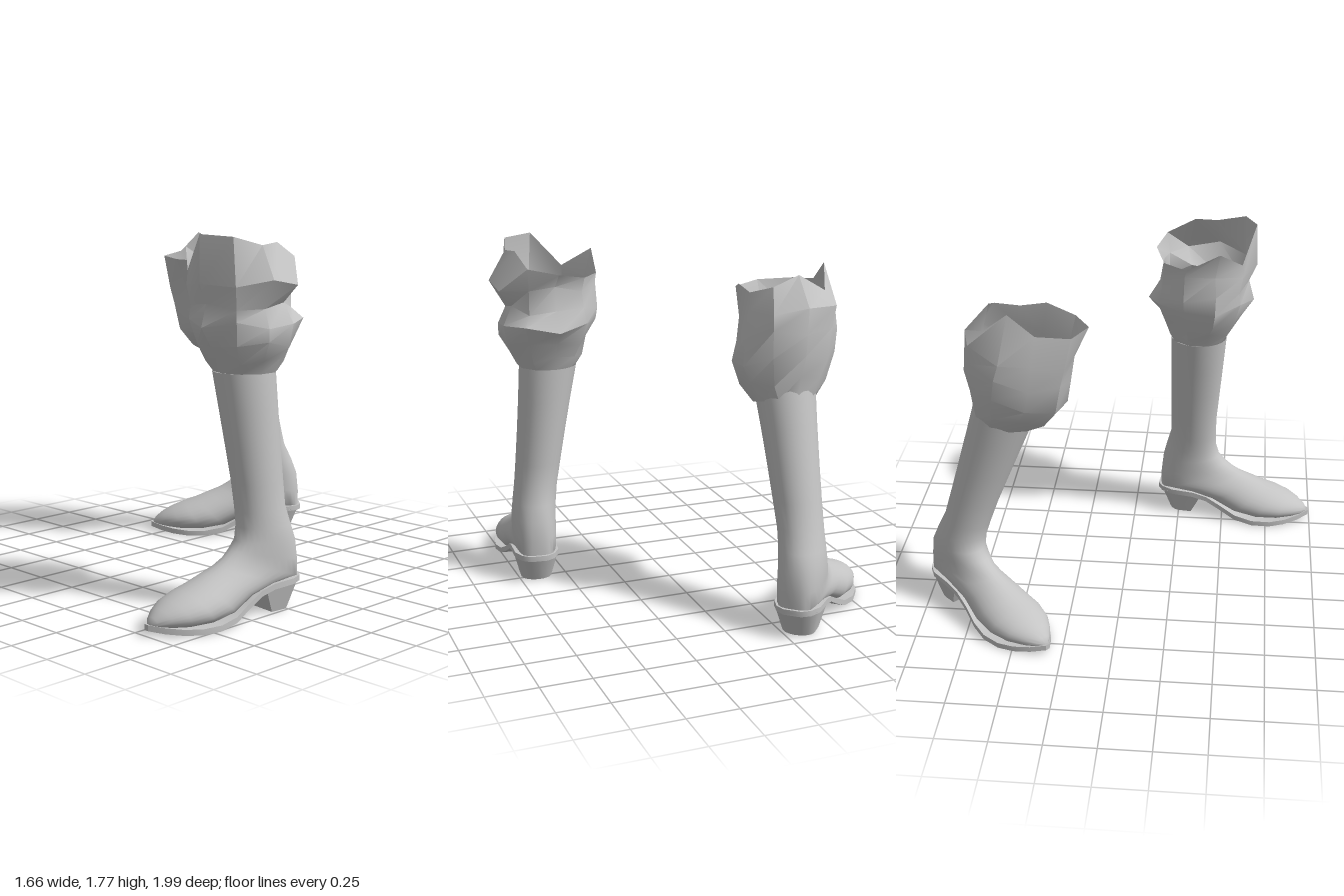
import * as THREE from 'three';
import { toCreasedNormals } from 'three/addons/utils/BufferGeometryUtils.js';

const grey = new THREE.MeshStandardMaterial({ color: 0xc4c4c4, side: THREE.DoubleSide });
grey.name = 'plain grey';

// Skin a list of closed rings of [x, y, z] points, optionally capping the ends
function loft(name, rings, crease, capStart, capEnd) {
  const n = rings[0].length, pos = rings.flat(2), idx = [];
  for (let r = 0; r + 1 < rings.length; r++) {
    for (let i = 0; i < n; i++) {
      const j = (i + 1) % n, a = r * n, b = a + n;
      idx.push(a + i, a + j, b + j, a + i, b + j, b + i);
    }
  }
  const cap = (r, flip) => {
    const c = pos.length / 3;
    for (let k = 0; k < 3; k++) pos.push(rings[r].reduce((s, p) => s + p[k], 0) / n);
    for (let i = 0; i < n; i++) {
      const j = (i + 1) % n;
      idx.push(c, r * n + (flip ? j : i), r * n + (flip ? i : j));
    }
  };
  if (capStart) cap(0, true);
  if (capEnd) cap(rings.length - 1, false);
  const g = new THREE.BufferGeometry();
  g.setAttribute('position', new THREE.Float32BufferAttribute(pos, 3));
  g.setIndex(idx);
  const mesh = new THREE.Mesh(toCreasedNormals(g, crease), grey);
  mesh.name = name;
  return mesh;
}

// Upper sections from shaft rim to toe: back z, back y, front z, front y, half width
const UPPER = [
  [0.035, 1.13, 0.335, 1.13, 0.148], [0.04, 0.95, 0.325, 0.95, 0.135],
  [0.045, 0.78, 0.315, 0.78, 0.125], [0.05, 0.62, 0.305, 0.61, 0.117],
  [0.052, 0.5, 0.305, 0.48, 0.112], [0.03, 0.41, 0.31, 0.41, 0.113],
  [0.012, 0.33, 0.33, 0.35, 0.114], [0.003, 0.23, 0.37, 0.31, 0.114],
  [0.005, 0.145, 0.41, 0.28, 0.112], [0.14, 0.135, 0.46, 0.25, 0.115],
  [0.3, 0.105, 0.52, 0.225, 0.125], [0.43, 0.045, 0.59, 0.195, 0.145],
  [0.56, 0.025, 0.66, 0.17, 0.152], [0.68, 0.025, 0.73, 0.142, 0.13],
  [0.76, 0.03, 0.785, 0.112, 0.088], [0.815, 0.035, 0.825, 0.08, 0.045],
  [0.84, 0.04, 0.842, 0.055, 0.015],
];

// Sole sections from heel to toe: z, underside y, half width
const SOLE = [
  [-0.008, 0.125, 0.045], [0.02, 0.125, 0.085], [0.08, 0.125, 0.115], [0.2, 0.12, 0.118],
  [0.28, 0.1, 0.118], [0.36, 0.058, 0.125], [0.45, 0.015, 0.145], [0.55, 0.001, 0.162],
  [0.65, 0, 0.152], [0.73, 0.005, 0.118], [0.8, 0.014, 0.068], [0.855, 0.025, 0.012],
];

function boot({ heel, angle, lean, tilt }) {
  const s = Math.sin(angle), c = Math.cos(angle);
  // Foot space (side, up, forward) to model space, leaning the shaft above the ankle
  const place = (x, y, z) => {
    const t = Math.max(0, (y - 0.36) / 0.77);
    return [heel[0] + x * c + z * s + lean[0] * t, y + tilt * t * (z * c - x * s - 0.18),
      heel[1] - x * s + z * c + lean[1] * t];
  };
  const group = new THREE.Group();

  const N = 28;
  const upper = UPPER.map(([bz, by, fz, fy, w], k) => {
    const foot = Math.min(1, Math.max(0, (k - 5) / 4));
    return Array.from({ length: N }, (_, i) => {
      const a = (i / N) * Math.PI * 2, sn = Math.sin(a), cs = Math.cos(a);
      // The foot is widest low down, with a fuller underside
      const h = Math.pow((1 + cs) / 2, 1 + 0.35 * foot);
      const side = Math.sign(sn) * Math.pow(Math.abs(sn), 1 - (cs < 0 ? 0.35 * foot : 0));
      return place(side * w, by + (fy - by) * h, bz + (fz - bz) * h);
    });
  });
  group.add(loft('bootUpper', upper, 1.1, false, true));

  const sole = SOLE.map(([z, y, w]) =>
    [[-w, 0], [w, 0], [w, 0.028], [-w, 0.028]].map(([x, dy]) => place(x, y + dy, z)));
  group.add(loft('sole', sole, 0.7, true, true));

  // Tapered heel block with a round back and a flat front
  const block = [[0, 0.055, 0.187, 0.08], [0.135, 0, 0.25, 0.113]].map(([y, back, front, w]) => {
    const mid = back + w * 0.8, ring = [[w, front], [-w, front]];
    for (let i = 0; i <= 8; i++) {
      const a = (i / 8) * Math.PI;
      ring.push([-w * Math.cos(a), mid - (mid - back) * Math.sin(a)]);
    }
    return ring.map(([x, z]) => place(x, y, z));
  });
  group.add(loft('heel', block, 0.6, true, true));
  return group;
}

// Crumpled cuff: rows of [centre x, centre z, heights, radii], ten columns going from +z to +x
function cuff(rows, tilt) {
  const rings = rows.map(([cx, cz, ys, rs], k) => Array.from({ length: 10 }, (_, i) => {
    const a = (i / 10) * Math.PI * 2;
    const r = Array.isArray(rs) ? rs[i] : rs;
    const crumple = k > 0 ? 0.018 * Math.sin(i * 2.3 + k * 1.9) : 0;
    const y = Array.isArray(ys) ? ys[i] : ys + crumple + tilt * r * Math.cos(a);
    return [cx + r * Math.sin(a), y, cz + r * Math.cos(a)];
  }));
  return loft('trouserCuff', rings, 0.65, false, false);
}

export function createModel() {
  const model = new THREE.Group();

  const left = boot({ heel: [0.67, 0.145], angle: -0.118, lean: [-0.105, 0.015], tilt: 0 });
  left.name = 'leftBoot';
  left.add(cuff([
    [0.55, 0.34, 1.13, 0.152],
    [0.55, 0.345, 1.19, 0.185],
    [0.55, 0.35, 1.27, [0.22, 0.23, 0.24, 0.23, 0.23, 0.22, 0.22, 0.21, 0.23, 0.22]],
    [0.55, 0.35, 1.36, [0.28, 0.25, 0.24, 0.25, 0.28, 0.28, 0.27, 0.26, 0.26, 0.26]],
    [0.55, 0.35, 1.44, [0.25, 0.25, 0.2, 0.2, 0.22, 0.22, 0.25, 0.27, 0.27, 0.25]],
    [0.55, 0.35, 1.55, [0.29, 0.28, 0.28, 0.27, 0.22, 0.2, 0.24, 0.26, 0.25, 0.27]],
    [0.54, 0.36, [1.77, 1.76, 1.72, 1.73, 1.66, 1.63, 1.6, 1.6, 1.7, 1.6],
      [0.27, 0.26, 0.2, 0.18, 0.25, 0.25, 0.25, 0.26, 0.29, 0.25]],
  ], 0));

  const right = boot({ heel: [-0.26, -0.955], angle: -0.73, lean: [0.0, 0.26], tilt: -0.3 });
  right.name = 'rightBoot';
  right.add(cuff([
    [-0.38, -0.565, 1.08, 0.152],
    [-0.385, -0.53, 1.16, [0.22, 0.21, 0.21, 0.21, 0.21, 0.2, 0.2, 0.21, 0.22, 0.22]],
    [-0.4, -0.5, 1.26, [0.25, 0.24, 0.25, 0.26, 0.25, 0.25, 0.24, 0.25, 0.25, 0.26]],
    [-0.41, -0.48, 1.38, [0.25, 0.25, 0.23, 0.25, 0.26, 0.26, 0.26, 0.26, 0.25, 0.27]],
    [-0.42, -0.46, 1.48, [0.25, 0.25, 0.22, 0.23, 0.27, 0.27, 0.28, 0.25, 0.24, 0.27]],
    [-0.42, -0.43, [1.59, 1.58, 1.62, 1.6, 1.64, 1.69, 1.61, 1.72, 1.62, 1.6],
      [0.29, 0.26, 0.21, 0.21, 0.22, 0.18, 0.23, 0.2, 0.21, 0.28]],
  ], -0.25));

  model.add(left, right);
  return model;
}
